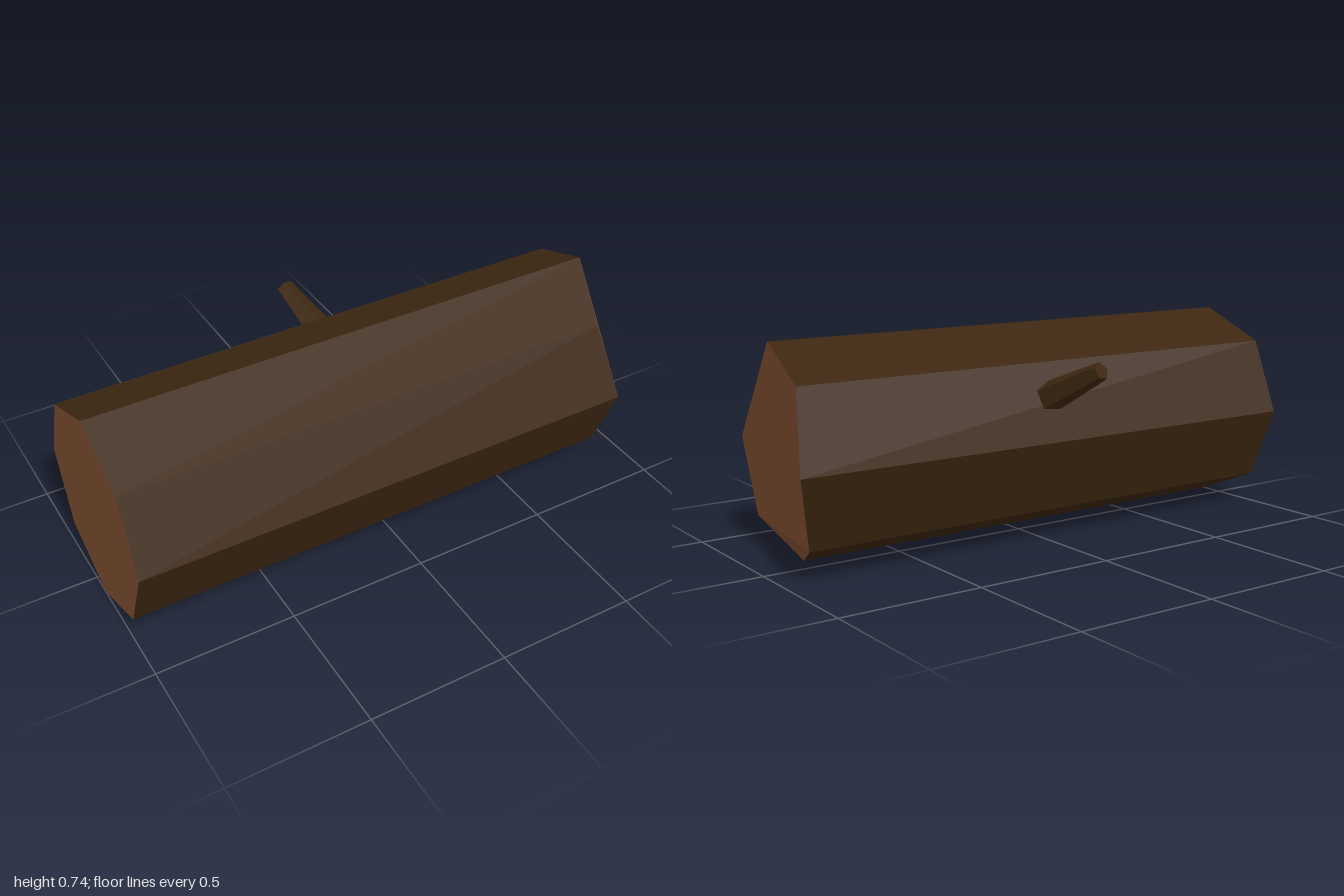
import * as THREE from 'three';

const SIDES = 8, RADIUS = 0.37, CENTRE_Y = 0.37, CENTRE_Z = 0.084;

// x of each corner of the roughly cut end, from the front corner upwards
const CUT = [0.855, 0.81, 0.92, 0.953, 1, 0.925, 0.815, 0.855];

function corner(i, x) {
  const a = (i % SIDES) * Math.PI * 2 / SIDES;
  return new THREE.Vector3(x, CENTRE_Y + RADIUS * Math.sin(a), CENTRE_Z + RADIUS * Math.cos(a));
}
const sawn = i => corner(i, -1);
const cut = i => corner(i, CUT[i % SIDES]);

function facets(name, points, material) {
  const geometry = new THREE.BufferGeometry().setFromPoints(points);
  geometry.computeVertexNormals();
  const mesh = new THREE.Mesh(geometry, material);
  mesh.name = name;
  return mesh;
}

export function createModel() {
  const bark = new THREE.MeshStandardMaterial({ color: 0x3d2711 });
  bark.name = 'bark';
  const wood = new THREE.MeshStandardMaterial({ color: 0x825032 });
  wood.name = 'cut wood';

  const group = new THREE.Group();
  group.name = 'log';

  // Eight-sided trunk
  const sides = [];
  for (let i = 0; i < SIDES; i++) {
    sides.push(sawn(i), cut(i), cut(i + 1), sawn(i), cut(i + 1), sawn(i + 1));
  }
  group.add(facets('trunkBark', sides, bark));

  // Flat sawn end
  const flat = [];
  for (let i = 1; i < SIDES - 1; i++) flat.push(sawn(0), sawn(i), sawn(i + 1));
  group.add(facets('sawnEnd', flat, wood));

  // Rough end: one slanted plane with three chipped corners
  const rough = [[2, 1, 0], [5, 4, 3], [7, 6, 5], [7, 5, 3], [7, 3, 2], [7, 2, 0]];
  group.add(facets('roughEnd', rough.flat().map(cut), wood));

  // Tapered branch stub, its base sunk into the trunk
  const base = new THREE.Vector3(0.033, 0.5, -0.185);
  const tip = new THREE.Vector3(-0.02, 0.627, -0.44);
  const along = tip.clone().sub(base);
  const stub = new THREE.CylinderGeometry(0.032, 0.06, along.length(), 5).toNonIndexed();
  stub.computeVertexNormals();
  const branch = new THREE.Mesh(stub, bark);
  branch.name = 'branchStub';
  branch.position.copy(base).lerp(tip, 0.5);
  branch.quaternion.setFromUnitVectors(new THREE.Vector3(0, 1, 0), along.normalize());
  group.add(branch);

  return group;
}
